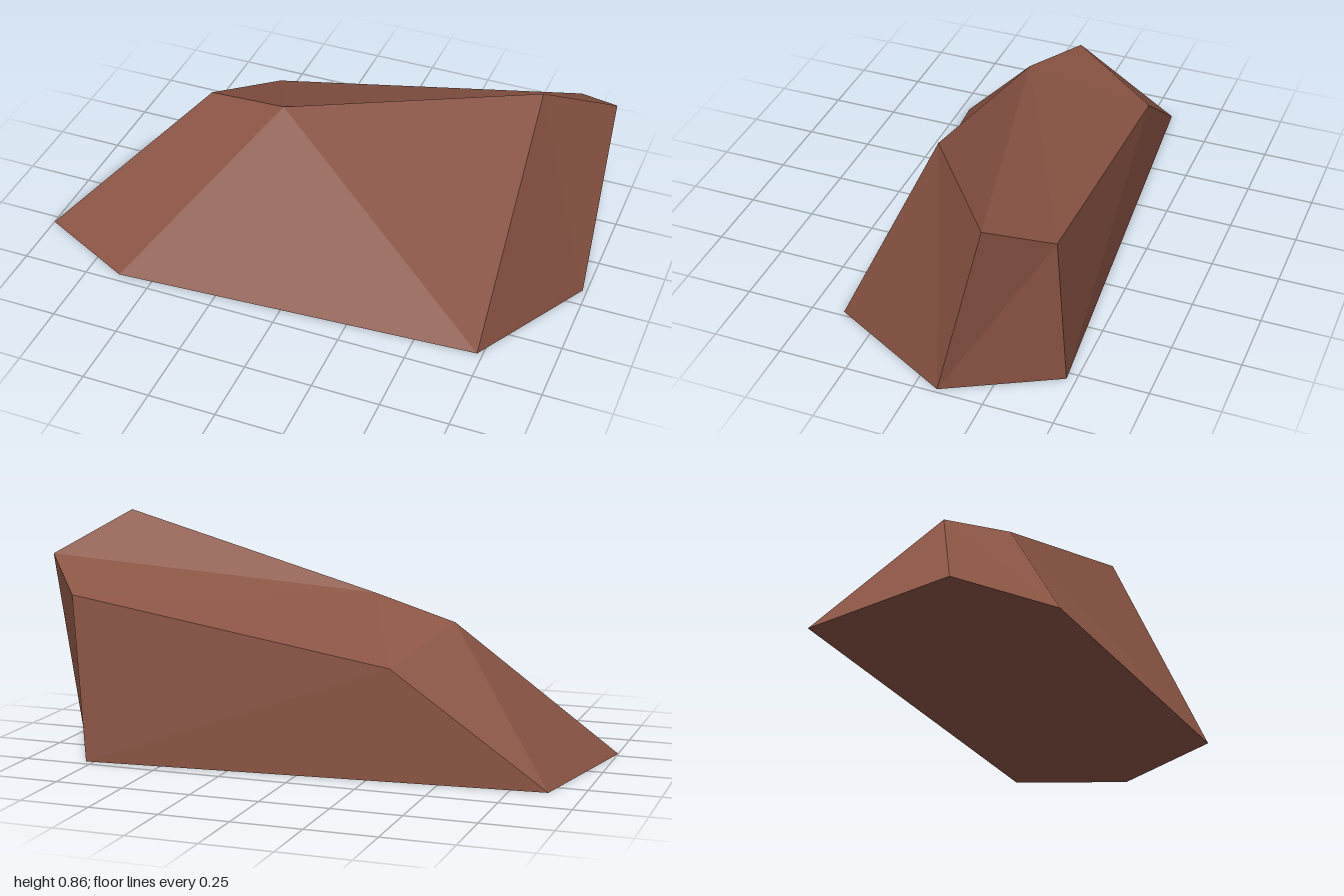
import * as THREE from 'three';

// Corner points of the boulder
const corners = {
  // ground outline
  A: [-1, 0, 0.28], B: [-0.63, 0, 0.467], C: [0.73, 0, 0.385],
  D: [0.985, 0, -0.08], E: [0.78, 0, -0.467], F: [-0.88, 0, -0.325],
  // upper rim
  G: [-0.475, 0.515, -0.065], H: [-0.15, 0.59, 0.02], I: [0.79, 0.86, -0.025],
  J: [1, 0.715, -0.255], K: [0.83, 0.6, -0.445], L: [-0.335, 0.4, -0.385],
};

// Triangular facets of each side, counter-clockwise from outside
const facets = [
  'ABG BHG BCH CIH', // front
  'CDI DJI DKJ DEK', // right end
  'ELK EFL',         // back
  'AGF FGL',         // left end
  'GHL HKL HJK HIJ', // top
  'AFE AED ADC ACB', // underside
].join(' ').split(' ');

export function createModel() {
  const positions = facets.flatMap((f) => [...f].flatMap((c) => corners[c]));
  const geometry = new THREE.BufferGeometry();
  geometry.setAttribute('position', new THREE.Float32BufferAttribute(positions, 3));
  geometry.computeVertexNormals();

  const stone = new THREE.MeshStandardMaterial({ color: 0x8a5444, flatShading: true });
  stone.name = 'reddish brown stone';

  const rock = new THREE.Mesh(geometry, stone);
  rock.name = 'rock';

  const model = new THREE.Group();
  model.name = 'boulder';
  model.add(rock);
  return model;
}
